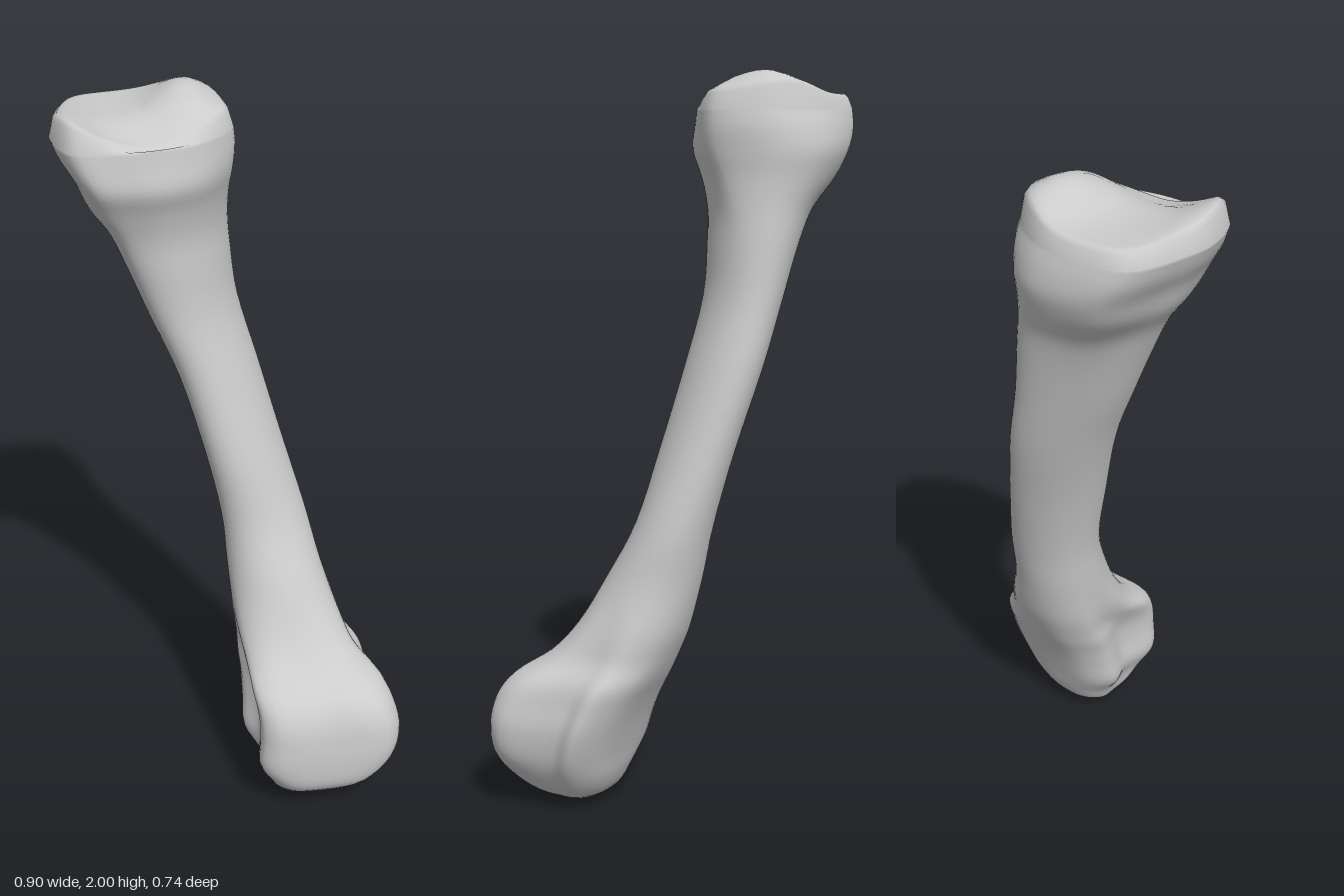
import * as THREE from 'three';

// Cross-section outlines (x, z from -1 to 1), one point every 30 degrees from +x towards +z
const HEAD = [[1, .1], [.79, .48], [.49, .75], [.06, .93], [-.36, .98], [-.79, .95],
  [-1, .43], [-1, -.02], [-.79, -.8], [-.32, -1], [.28, -1], [.79, -.66]];
const FOOT = [[.72, -.33], [1, .5], [.81, .89], [.07, .97], [-.63, 1], [-.86, .78],
  [-.81, .06], [-1, -.5], [-.72, -.89], [-.16, -1], [.4, -.95], [.77, -.67]];

// Stations down the bone: y, xMin, xMax, zMin, zMax
const BOUNDS = [
  [1.90, -.45, .02, -.35, .055], [1.85, -.43, .025, -.365, .06], [1.79, -.395, .02, -.37, .06],
  [1.72, -.365, .012, -.35, .03], [1.64, -.31, .012, -.32, .005], [1.55, -.27, .02, -.305, -.005],
  [1.40, -.21, .04, -.285, -.015], [1.22, -.135, .092, -.26, -.003], [1.00, -.07, .155, -.21, .03],
  [.80, -.025, .215, -.165, .06], [.65, -.012, .255, -.135, .125], [.52, .0, .3, -.105, .185],
  [.44, .01, .34, -.075, .245], [.38, .012, .405, -.05, .325], [.32, .018, .435, -.02, .36],
  [.25, .02, .45, .01, .37], [.17, .022, .435, .038, .37], [.10, .065, .385, .06, .355],
  [.045, .09, .33, .09, .305], [.012, .12, .27, .135, .26]];
// Per station: share of head outline, share of foot outline, skew of the round shaft
const MIX = [
  [1, 0, 0], [1, 0, 0], [.9, 0, -.2], [.7, 0, -.3], [.4, 0, -.4], [.15, 0, -.4], [0, 0, -.4],
  [0, 0, -.35], [0, 0, -.3], [0, 0, -.15], [0, 0, 0], [0, .25, 0], [0, .55, 0], [0, .85, 0],
  [0, 1, 0], [0, 1, 0], [0, .9, 0], [0, .65, 0], [0, .4, 0], [0, .2, 0]];

const SIDES = 60, STEPS = 4;

// Smooth interpolation between table rows
function sample(rows, f) {
  const i = Math.min(Math.floor(f), rows.length - 2), t = f - i;
  const at = k => rows[Math.max(0, Math.min(rows.length - 1, k))];
  return rows[0].map((_, c) => {
    const [a, b, d, e] = [at(i - 1)[c], at(i)[c], at(i + 1)[c], at(i + 2)[c]];
    return b + .5 * t * (d - a + t * (2 * a - 5 * b + 4 * d - e + t * (3 * (b - d) + e - a)));
  });
}

function smoothOutline(points) {
  const curve = new THREE.CatmullRomCurve3(
    points.map(([x, z]) => new THREE.Vector3(x, 0, z)), true, 'centripetal');
  return Array.from({ length: SIDES }, (_, j) => curve.getPoint(j / SIDES));
}
const headOutline = smoothOutline(HEAD), footOutline = smoothOutline(FOOT);

// One ring: blend the outlines, then fit the result to the station's bounds
function makeRing(f) {
  const [y, x0, x1, z0, z1] = sample(BOUNDS, f);
  const [h, k, skew] = sample(MIX, f);
  const ring = headOutline.map((p, j) => {
    const t = j / SIDES * Math.PI * 2, q = footOutline[j], r = 1 - h - k;
    return new THREE.Vector3(
      h * p.x + k * q.x + r * Math.cos(t), y,
      h * p.z + k * q.z + r * Math.sin(t + skew));
  });
  const box = new THREE.Box3().setFromPoints(ring);
  for (const v of ring) {
    v.x = THREE.MathUtils.mapLinear(v.x, box.min.x, box.max.x, x0, x1);
    v.z = THREE.MathUtils.mapLinear(v.z, box.min.z, box.max.z, z0, z1);
  }
  return ring;
}

// Saddle-shaped joint surface: a high ridge, a shallow valley and a raised outer rim
function topHeight(x, z) {
  const ridge = .062 * Math.exp(-((x + .1) ** 2) / .008 - ((z + .2) ** 2) / .02);
  const rim = .03 * Math.exp(-((x + .41) ** 2) / .004 - (z ** 2) / .03);
  const frontDrop = .04 * THREE.MathUtils.smoothstep(z, -.12, .04)
    * THREE.MathUtils.smoothstep(x, -.38, -.2);
  return 1.938 + ridge + rim - frontDrop;
}

function boneGeometry() {
  const rings = [];
  const top = makeRing(0);
  // Joint surface, from its middle out to the rim
  for (const s of [.001, .15, .3, .45, .6, .72, .82, .9, .95]) {
    rings.push(top.map(v => {
      const x = -.215 + (v.x + .215) * s, z = -.15 + (v.z + .15) * s;
      return new THREE.Vector3(x, topHeight(x, z) - (s > .92 ? .01 : 0), z);
    }));
  }
  // Head, shaft and lower knuckle
  const count = (BOUNDS.length - 1) * STEPS;
  for (let i = 0; i <= count; i++) rings.push(makeRing(i / STEPS));
  // Rounded closing of the lower end
  const last = rings[rings.length - 1];
  for (const [s, y] of [[.6, .003], [.001, 0]]) {
    rings.push(last.map(v => new THREE.Vector3(.195 + (v.x - .195) * s, y, .198 + (v.z - .198) * s)));
  }

  const index = [];
  for (let i = 0; i < rings.length - 1; i++) {
    for (let j = 0; j < SIDES; j++) {
      const n = (j + 1) % SIDES;
      const a = i * SIDES + j, b = i * SIDES + n, c = a + SIDES, d = b + SIDES;
      index.push(a, b, c, b, d, c);
    }
  }
  const geometry = new THREE.BufferGeometry().setFromPoints(rings.flat());
  geometry.setIndex(index);
  geometry.computeVertexNormals();
  return geometry;
}

export function createModel() {
  const group = new THREE.Group();
  group.name = 'longBone';
  const bone = new THREE.Mesh(boneGeometry(), new THREE.MeshStandardMaterial({ color: 0xcccccc }));
  bone.name = 'bone';
  group.add(bone);
  return group;
}
